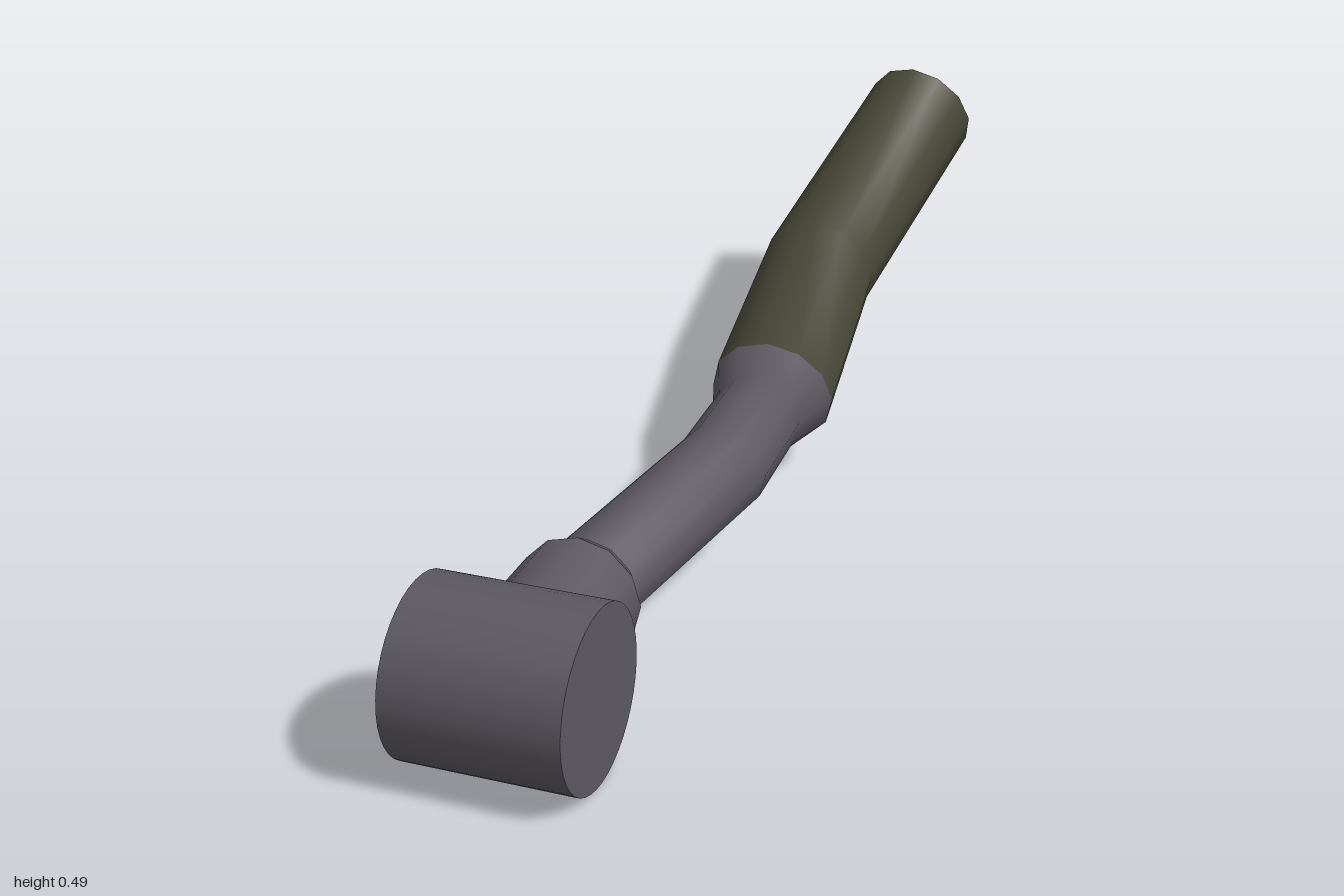
import * as THREE from 'three';

const SIDES = 12;
const V = (x, y, z) => new THREE.Vector3(x, y, z);

// Smooth skin over round cross-sections: each ring is { at, r, dir? }, dir being the facing of the ring
function loft(rings) {
  const pos = [], index = [];
  rings.forEach((ring, i) => {
    const before = rings[Math.max(i - 1, 0)].at, after = rings[Math.min(i + 1, rings.length - 1)].at;
    const n = ring.dir ? ring.dir.clone() : i === 0 || i === rings.length - 1
      ? after.clone().sub(before)
      : after.clone().sub(ring.at).normalize().add(ring.at.clone().sub(before).normalize());
    n.normalize();
    const u = n.clone().cross(V(0, 1, 0)).normalize();
    const v = u.clone().cross(n);
    for (let j = 0; j < SIDES; j++) {
      const a = (j / SIDES) * Math.PI * 2;
      const p = ring.at.clone().addScaledVector(u, ring.r * Math.sin(a)).addScaledVector(v, ring.r * Math.cos(a));
      pos.push(p.x, p.y, p.z);
    }
  });
  for (let i = 0; i < rings.length - 1; i++) {
    for (let j = 0; j < SIDES; j++) {
      const k = (j + 1) % SIDES;
      const a = i * SIDES + j, b = i * SIDES + k, c = a + SIDES, d = b + SIDES;
      index.push(a, b, c, b, d, c);
    }
  }
  const g = new THREE.BufferGeometry();
  g.setAttribute('position', new THREE.Float32BufferAttribute(pos, 3));
  g.setIndex(index);
  g.computeVertexNormals();
  return g;
}

export function createModel() {
  const model = new THREE.Group();
  const metal = new THREE.MeshStandardMaterial({ color: 0x5c5861 });
  metal.name = 'greyMetal';
  const wrap = new THREE.MeshStandardMaterial({ color: 0x464637 });
  wrap.name = 'oliveGrip';

  const add = (name, geometry, material) => {
    const mesh = new THREE.Mesh(geometry, material);
    mesh.name = name;
    model.add(mesh);
    return mesh;
  };

  // Cross cylinder at the front
  const head = add('head', new THREE.CylinderGeometry(0.133, 0.133, 0.265, 40), metal);
  head.rotation.z = Math.PI / 2;
  head.position.set(-0.022, 0.133, 0.867);

  // Collar joining the head and the shaft, with a bevelled shoulder
  const back = V(0, 0, -1);
  const shoulder = V(-0.021, 0.135, 0.625);
  add('collar', loft([
    { at: V(-0.021, 0.135, 0.84), r: 0.095, dir: back },
    { at: shoulder, r: 0.095, dir: back },
  ]), metal);
  add('collarBevel', loft([
    { at: shoulder, r: 0.095, dir: back },
    { at: V(-0.021, 0.137, 0.592), r: 0.073, dir: back },
  ]), metal);

  // Bent shaft flaring into the grip
  const joint = { at: V(0.023, 0.142, -0.115), r: 0.106, dir: V(-0.03, 0.28, -0.95) };
  add('shaft', loft([
    { at: V(-0.022, 0.137, 0.605), r: 0.074, dir: back },
    { at: V(0.062, 0.177, 0.25), r: 0.074 },
    { at: V(0.037, 0.152, 0.012), r: 0.074 },
    joint,
  ]), metal);

  // Bent grip
  const bend = V(-0.028, 0.203, -0.54);
  const end = V(0.048, 0.391, -0.957);
  const out = end.clone().sub(bend).normalize();
  add('grip', loft([joint, { at: bend, r: 0.104 }, { at: end, r: 0.104, dir: out }]), wrap);

  // Open end: flat rim, bore and the bottom of the bore
  const inner = end.clone().addScaledVector(out, -0.4);
  const rings = [[end, 0.104], [end, 0.068], [inner, 0.068], [inner, 0]]
    .map(([at, r]) => ({ at, r, dir: out }));
  ['rim', 'bore', 'boreBottom'].forEach((name, i) => add(name, loft(rings.slice(i, i + 2)), metal));

  return model;
}
